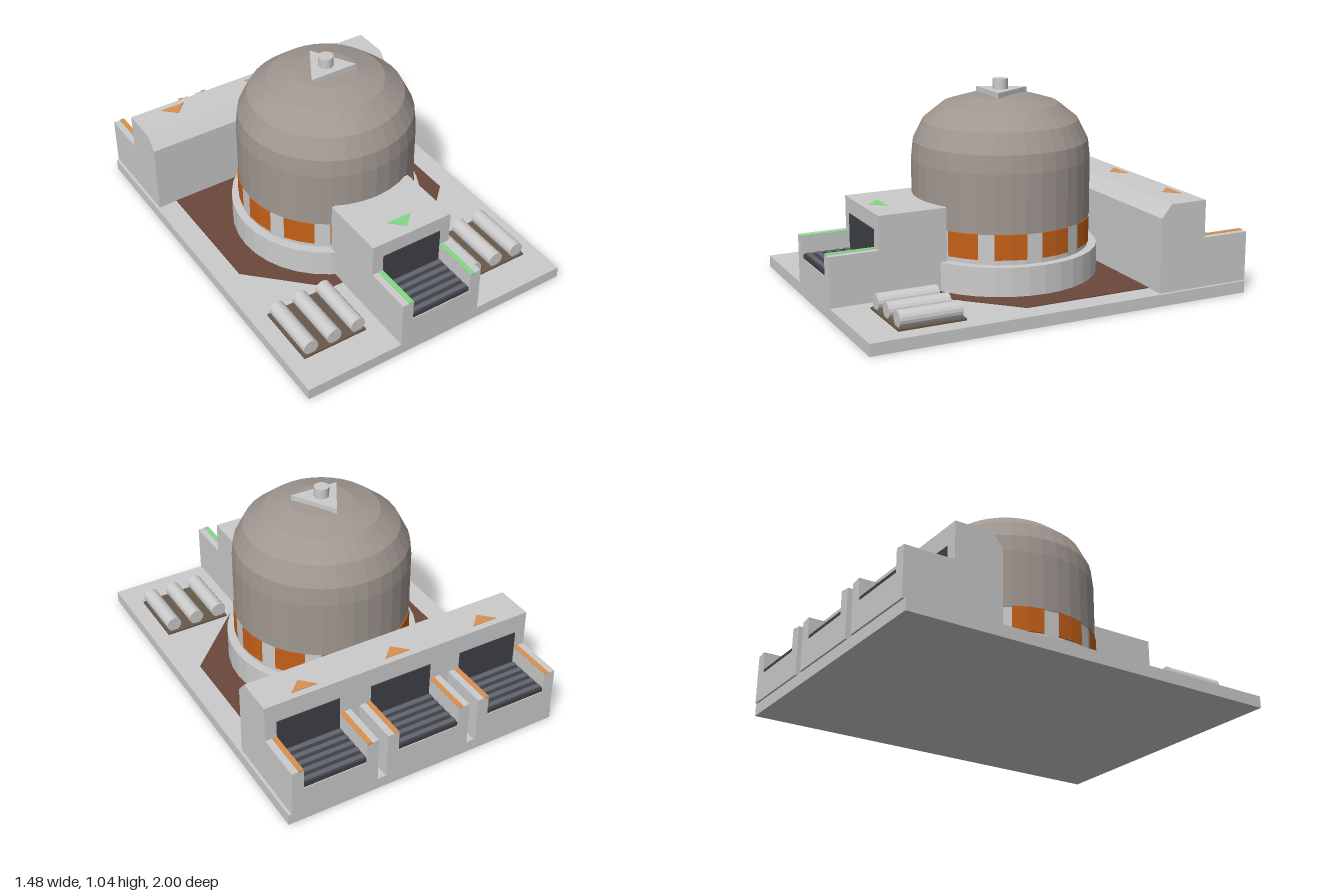
import * as THREE from 'three';

const mat = (color) => new THREE.MeshStandardMaterial({ color, flatShading: true });
const GREY = mat(0xcccccc);
const DOME = mat(0xa09791);
const WINDOW = mat(0xc46018);
const ORANGE = mat(0xda9050);
const GREEN = mat(0x84d884);
const FLOOR = mat(0x6b473c);
const PAD = mat(0x685a4b);
const DARK = mat(0x404147);
const SLAT = mat(0x63666f);

function add(parent, name, geometry, material) {
  const mesh = new THREE.Mesh(geometry, material);
  mesh.name = name;
  parent.add(mesh);
  return mesh;
}

// Box given by its lower and upper limits
function box(parent, name, material, x0, x1, y0, y1, z0, z1) {
  const mesh = add(parent, name, new THREE.BoxGeometry(x1 - x0, y1 - y0, z1 - z0), material);
  mesh.position.set((x0 + x1) / 2, (y0 + y1) / 2, (z0 + z1) / 2);
  return mesh;
}

// Flat plate from [x, z] corners, lying between y0 and y1
function plate(parent, name, material, corners, y0, y1) {
  const shape = new THREE.Shape(corners.map(([x, z]) => new THREE.Vector2(x, -z)));
  const geometry = new THREE.ExtrudeGeometry(shape, { depth: y1 - y0, bevelEnabled: false });
  geometry.rotateX(-Math.PI / 2);
  const mesh = add(parent, name, geometry, material);
  mesh.position.y = y0;
  return mesh;
}

// Loading bay: sill, two arms with coloured strips, slatted belt and dark doorway.
// Local z = 0 is the doorway wall, the bay reaches out to z = 0.25.
function loadingBay(name, stripMaterial) {
  const bay = new THREE.Group();
  bay.name = name;
  box(bay, 'sill', GREY, -0.165, 0.165, 0.06, 0.2, 0, 0.25);
  box(bay, 'belt', DARK, -0.165, 0.165, 0.2, 0.222, 0, 0.245);
  for (let i = 0; i < 5; i++) {
    const z = 0.012 + i * 0.049;
    box(bay, 'beltSlat', SLAT, -0.165, 0.165, 0.21, 0.226, z, z + 0.025);
  }
  for (const s of [-1, 1]) {
    const arm = box(bay, 'arm', GREY, -0.03, 0.03, 0.06, 0.31, 0, 0.25);
    arm.position.x = s * 0.195;
    const strip = box(bay, 'armStrip', stripMaterial, -0.0125, 0.0125, 0.305, 0.313, 0, 0.25);
    strip.position.x = s * 0.178;
  }
  box(bay, 'doorway', DARK, -0.165, 0.165, 0.2, 0.4, -0.01, 0.004);
  return bay;
}

export function createModel() {
  const model = new THREE.Group();
  model.name = 'domedFactory';

  // Base slab and coloured yard
  box(model, 'base', GREY, -0.74, 0.74, 0, 0.06, -0.99, 1);
  plate(model, 'yardFloor', FLOOR,
    [[-0.625, -0.51], [-0.625, 0.17], [-0.29, 0.5], [0.29, 0.5], [0.625, 0.17], [0.625, -0.51]], 0.055, 0.064);

  // Plinth, drum and dome
  add(model, 'plinth', new THREE.CylinderGeometry(0.49, 0.49, 0.15, 36), GREY).position.y = 0.135;
  add(model, 'drum', new THREE.CylinderGeometry(0.447, 0.447, 0.16, 36), GREY).position.y = 0.285;
  const domeProfile = [[0.44, 0.36], [0.45, 0.36], [0.45, 0.655], [0.44, 0.745], [0.39, 0.845],
    [0.29, 0.925], [0.155, 0.965], [0, 0.974]].map(([r, y]) => new THREE.Vector2(r, y));
  add(model, 'dome', new THREE.LatheGeometry(domeProfile, 36), DOME);

  // Twelve windows around the drum
  const windowProfile = [[0.44, 0.235], [0.455, 0.235], [0.455, 0.361], [0.44, 0.361]]
    .map(([r, y]) => new THREE.Vector2(r, y));
  for (let i = 0; i < 12; i++) {
    const geometry = new THREE.LatheGeometry(windowProfile, 2, (i * Math.PI) / 6, Math.PI / 9);
    add(model, 'window', geometry, WINDOW);
  }

  // Triangular cap and stub on the dome
  plate(model, 'capPlate', GREY, [[0, -0.147], [-0.128, 0.073], [0.128, 0.073]], 0.966, 0.993);
  add(model, 'capStub', new THREE.CylinderGeometry(0.038, 0.038, 0.06, 16), GREY).position.y = 1.015;

  // Front block with one bay
  box(model, 'frontBlock', GREY, -0.225, 0.225, 0.06, 0.478, 0.4, 0.75);
  const frontBay = loadingBay('frontBay', GREEN);
  frontBay.position.z = 0.75;
  model.add(frontBay);
  plate(model, 'frontArrow', GREEN, [[-0.067, 0.64], [0, 0.707], [0.067, 0.64]], 0.475, 0.481);

  // Rear block: chamfered section swept along x
  const section = new THREE.Shape([[0.5, 0.06], [0.75, 0.06], [0.75, 0.5], [0.555, 0.5], [0.5, 0.435]]
    .map(([z, y]) => new THREE.Vector2(z, y)));
  const rear = new THREE.ExtrudeGeometry(section, { depth: 1.45, bevelEnabled: false });
  rear.rotateY(Math.PI / 2).translate(-0.725, 0, 0);
  add(model, 'rearBlock', rear, GREY);

  // Three rear bays with arrows
  for (const x of [-0.5, 0, 0.5]) {
    const bay = loadingBay('rearBay', ORANGE);
    bay.position.set(x, 0, -0.75);
    bay.rotation.y = Math.PI;
    model.add(bay);
    plate(model, 'rearArrow', ORANGE, [[x - 0.067, -0.715], [x, -0.648], [x + 0.067, -0.715]], 0.497, 0.503);
  }

  // Racks of three pipes either side of the front block
  for (const s of [-1, 1]) {
    const pad = box(model, 'pipePad', PAD, -0.172, 0.172, 0.055, 0.07, 0.495, 0.83);
    pad.position.x = s * 0.483;
    for (const x of [0.35, 0.482, 0.612]) {
      const pipe = add(model, 'pipe', new THREE.CylinderGeometry(0.04, 0.04, 0.31, 16), GREY);
      pipe.rotation.x = Math.PI / 2;
      pipe.position.set(s * x, 0.105, 0.665);
    }
  }
  return model;
}
